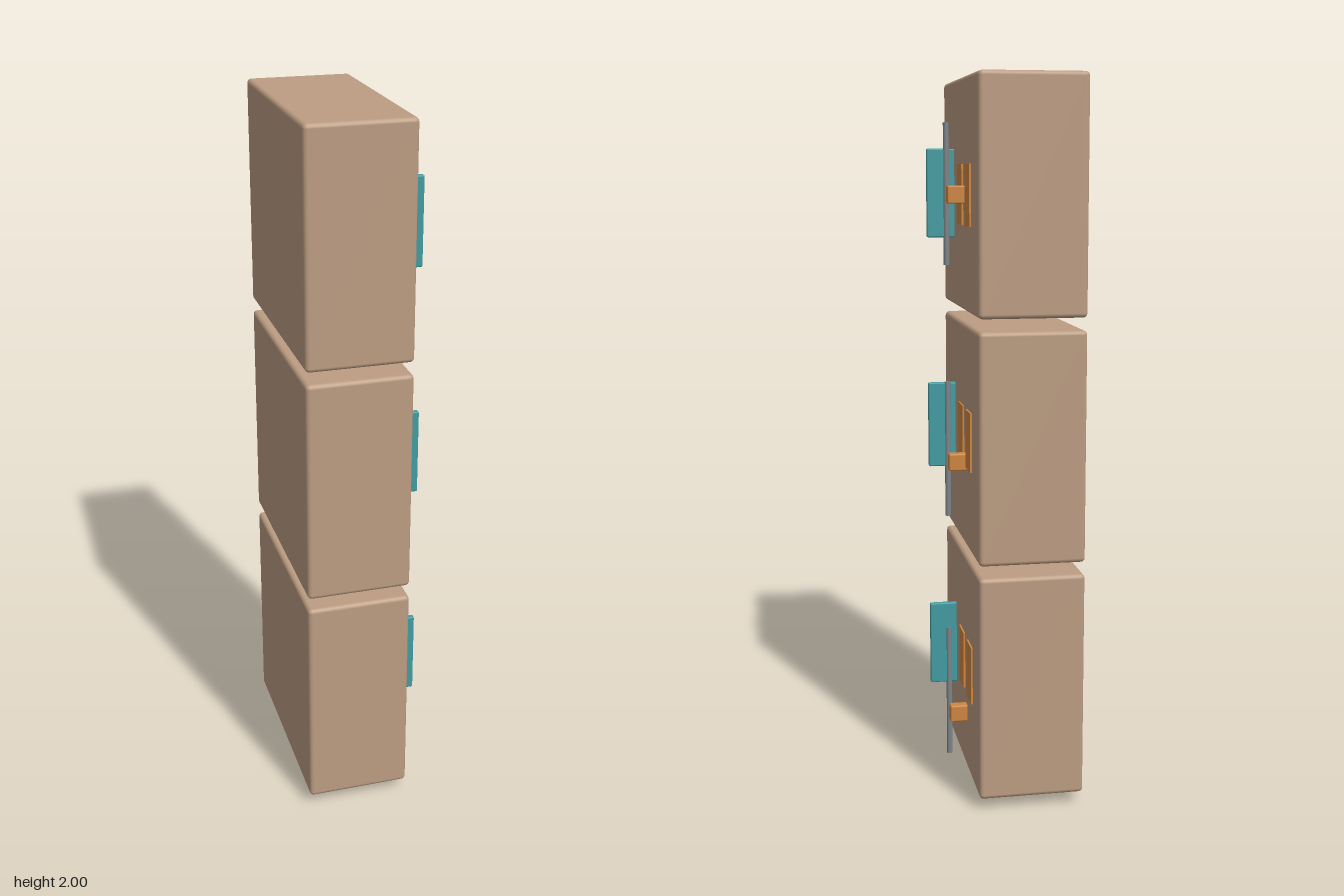
import * as THREE from 'three';
import { RoundedBoxGeometry } from 'three/addons/geometries/RoundedBoxGeometry.js';

const material = (name, color) => {
  const m = new THREE.MeshStandardMaterial({ color });
  m.name = name;
  return m;
};

export function createModel() {
  const tan = material('tan', 0xbc9d82);
  const orange = material('orange', 0xce8640);
  const teal = material('teal', 0x429ca2);
  const grey = material('grey', 0x7d8488);

  // Box given by its minimum and maximum corners, with softened edges
  function block(name, min, max, radius, mat, parent) {
    const size = max.map((v, i) => v - min[i]);
    const geometry = radius
      ? new RoundedBoxGeometry(...size, 2, radius)
      : new THREE.BoxGeometry(...size);
    const mesh = new THREE.Mesh(geometry, mat);
    mesh.name = name;
    mesh.position.set(...max.map((v, i) => (v + min[i]) / 2));
    parent.add(mesh);
  }

  const model = new THREE.Group();
  model.name = 'cabinetStack';

  // Each unit: base height, with rod bottom and knob bottom relative to it
  const units = [
    { name: 'lowerUnit', y: 0.033, rod: -0.033, knob: 0.147 },
    { name: 'middleUnit', y: 0.7, rod: 0.045, knob: 0.222 },
    { name: 'upperUnit', y: 1.367, rod: 0.116, knob: 0.294 },
  ];

  for (const { name, y, rod, knob } of units) {
    const unit = new THREE.Group();
    unit.name = name;
    unit.position.y = y;
    model.add(unit);

    block('cabinet', [-0.186, 0, -0.31], [0.107, 0.633, 0.31], 0.012, tan, unit);

    // Thin panels on the left face
    for (const z of [-0.15, -0.015, 0.15]) {
      block('panel', [0.105, 0.235, z - 0.04], [0.112, 0.4, z + 0.04], 0, orange, unit);
    }

    block('knob', [0.1, knob, -0.095], [0.156, knob + 0.048, -0.064], 0.004, orange, unit);
    block('fin', [0.1, 0.195, 0.108], [0.186, 0.443, 0.125], 0.004, teal, unit);

    // Upright rod beside the fin
    const bar = new THREE.Mesh(new THREE.CylinderGeometry(0.0085, 0.0085, 0.4, 16), grey);
    bar.name = 'rod';
    bar.position.set(0.13, rod + 0.2, 0.111);
    unit.add(bar);
  }
  return model;
}
